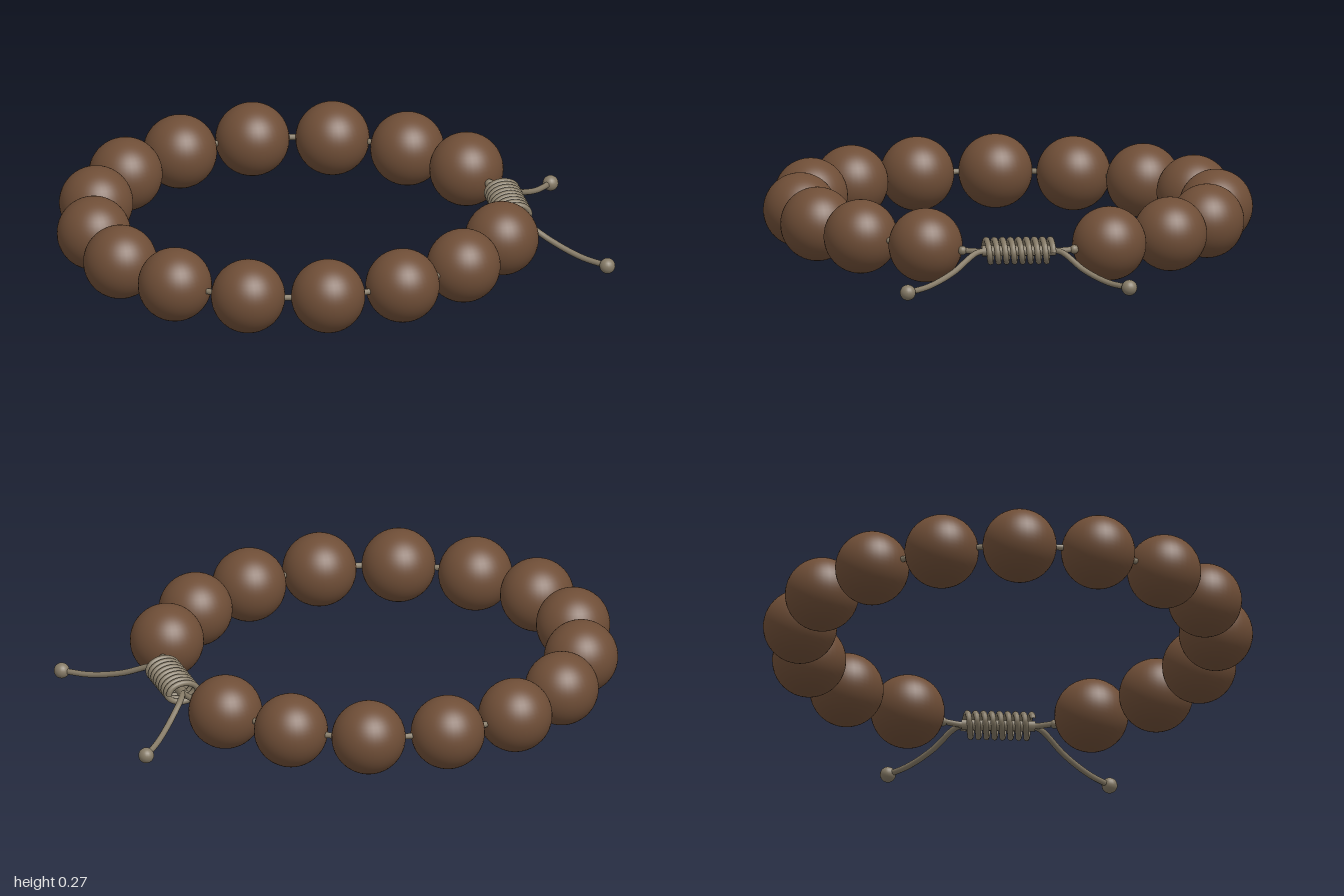
import * as THREE from 'three';

const V = (x, y, z) => new THREE.Vector3(x, y, z);

export function createModel() {
  const group = new THREE.Group();
  const wood = new THREE.MeshStandardMaterial({ color: 0x6f4e37 });
  wood.name = 'brown wood';
  const cordMat = new THREE.MeshStandardMaterial({ color: 0x857a66 });
  cordMat.name = 'grey cord';

  const add = (name, geometry, material, position) => {
    const mesh = new THREE.Mesh(geometry, material);
    mesh.name = name;
    if (position) mesh.position.copy(position);
    group.add(mesh);
    return mesh;
  };
  const tube = (name, points, radius, segments, closed = false) =>
    add(name, new THREE.TubeGeometry(new THREE.CatmullRomCurve3(points, closed), segments, radius, 10, closed), cordMat);

  // Bead centres around the loop, slightly irregular (x, z)
  const centres = [
    [0.59, -0.337], [0.415, -0.57], [0.165, -0.72], [-0.125, -0.768], [-0.408, -0.702],
    [-0.645, -0.53], [-0.803, -0.283], [-0.867, 0], [-0.825, 0.29], [-0.67, 0.54],
    [-0.428, 0.702], [-0.14, 0.757], [0.147, 0.71], [0.403, 0.565], [0.59, 0.337],
  ].map(([x, z]) => V(x, 0.14, z));
  const beadGeo = new THREE.SphereGeometry(0.136, 40, 28);
  centres.forEach((c, i) => add('bead' + (i + 1), beadGeo, wood, c));

  // Cord threaded through the beads and the sliding knot
  tube('loopCord', [...centres, V(0.648, 0.13, 0.2), V(0.68, 0.13, 0.1), V(0.68, 0.13, -0.1), V(0.648, 0.13, -0.2)], 0.011, 200, true);

  // Sliding knot: an oval coil wrapped around the cord
  const turns = 8.5, coil = [];
  for (let i = 0; i <= turns * 16; i++) {
    const t = i / (turns * 16), a = t * turns * Math.PI * 2;
    coil.push(V(0.68 + 0.058 * Math.cos(a), 0.133 + 0.04 * Math.sin(a), -0.125 + 0.25 * t));
  }
  tube('knotCoil', coil, 0.011, 272);
  tube('knotCore', [V(0.68, 0.133, -0.135), V(0.68, 0.133, 0.135)], 0.02, 8);

  // Loose tails with a small stopper at each end, and cord ends beside the knot
  const endGeo = new THREE.SphereGeometry(0.029, 20, 14);
  const stubGeo = new THREE.SphereGeometry(0.017, 14, 10);
  for (const [side, s, x, z] of [['front', 1, 0.968, 0.423], ['back', -1, 0.915, -0.393]]) {
    const end = V(x, 0.035, z);
    tube(side + 'Tail', [
      V(0.68, 0.135, s * 0.11), V(0.7, 0.13, s * 0.155),
      V(0.68 + (x - 0.68) * 0.4, 0.075, s * 0.13 + (z - s * 0.13) * 0.4),
      V(0.68 + (x - 0.68) * 0.72, 0.042, s * 0.13 + (z - s * 0.13) * 0.72), end,
    ], 0.011, 40);
    add(side + 'TailStopper', endGeo, cordMat, end);
    add(side + 'CordEnd', stubGeo, cordMat, V(0.65, 0.13, s * 0.205));
  }
  return group;
}
